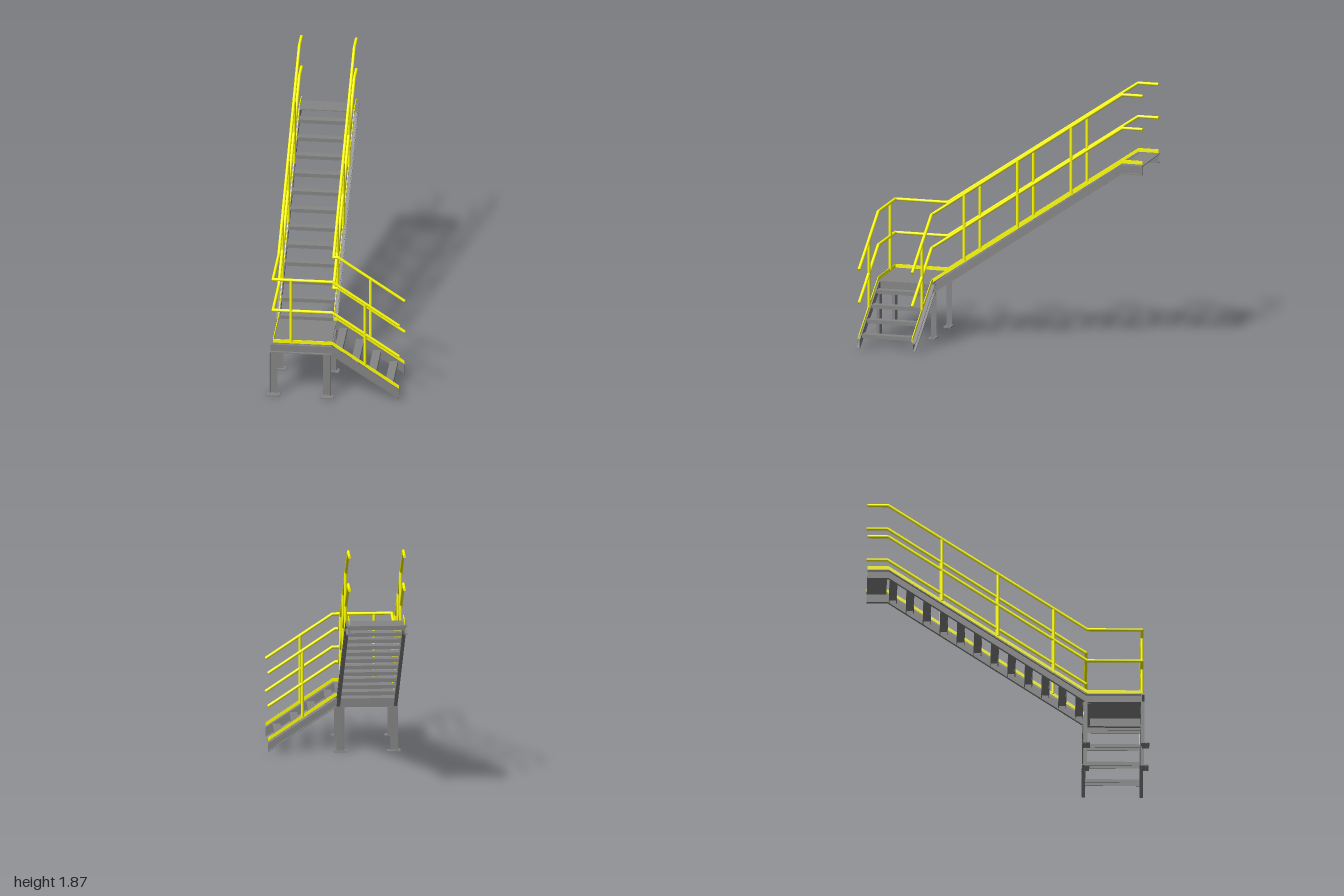
import * as THREE from 'three';

const steel = new THREE.MeshStandardMaterial({ color: 0x858585 });
const yellow = new THREE.MeshStandardMaterial({ color: 0xffff00 });

const BEAM_H = 0.066, FLANGE = 0.025, T = 0.007, PIPE = 0.011;
const V = (x, y, z) => new THREE.Vector3(x, y, z);

function add(parent, name, geometry, material = steel) {
  const mesh = new THREE.Mesh(geometry, material);
  mesh.name = name;
  parent.add(mesh);
  return mesh;
}

function group(parent, name) {
  const g = new THREE.Group();
  g.name = name;
  parent.add(g);
  return g;
}

// Box given by its minimum and maximum corners
function box(parent, name, x0, x1, y0, y1, z0, z1) {
  const mesh = add(parent, name, new THREE.BoxGeometry(x1 - x0, y1 - y0, z1 - z0));
  mesh.position.set((x0 + x1) / 2, (y0 + y1) / 2, (z0 + z1) / 2);
  return mesh;
}

// Flat bar following a side profile, from "low" to "high" around its points.
// Local axes: run, up, depth.
function strip(parent, name, pts, low, high, start, depth, material) {
  const shape = new THREE.Shape([
    ...pts.map(([s, y]) => new THREE.Vector2(s, y + low)),
    ...[...pts].reverse().map(([s, y]) => new THREE.Vector2(s, y + high)),
  ]);
  const geo = new THREE.ExtrudeGeometry(shape, { depth, bevelEnabled: false });
  geo.translate(0, 0, start);
  return add(parent, name, geo, material);
}

// C-channel below a profile of top-edge points; flanges point from the web towards "dir"
function channel(parent, name, pts, web, dir) {
  const g = group(parent, name);
  const start = (depth) => (dir > 0 ? web : web - depth);
  strip(g, 'web', pts, -BEAM_H + T, -T, start(T), T);
  strip(g, 'topFlange', pts, -T, 0, start(FLANGE), FLANGE);
  strip(g, 'bottomFlange', pts, -BEAM_H, -BEAM_H + T, start(FLANGE), FLANGE);
  return g;
}

// Straight pipe between two points
function pipe(parent, name, a, b) {
  const mesh = add(parent, name, new THREE.CylinderGeometry(PIPE, PIPE, a.distanceTo(b), 14), yellow);
  mesh.position.copy(a).add(b).multiplyScalar(0.5);
  mesh.quaternion.setFromUnitVectors(V(0, 1, 0), b.clone().sub(a).normalize());
}

// Pipe through several points with rounded elbows
function rail(parent, name, pts) {
  const g = group(parent, name);
  pts.forEach((p, i) => {
    if (i === 0) return;
    pipe(g, 'railPipe', pts[i - 1], p);
    if (i < pts.length - 1) {
      add(g, 'railElbow', new THREE.SphereGeometry(PIPE, 14, 10), yellow).position.copy(p);
    }
  });
}

// Folded pan tread, long in x, centred on its top face
function tread(parent, length) {
  const g = group(parent, 'tread');
  const w = 0.0285;
  box(g, 'treadTop', -length / 2, length / 2, -0.005, 0, -w, w);
  for (const s of [-1, 1]) {
    const lip = box(g, 'treadLip', -length / 2, length / 2, -0.027, -0.005, -0.0025, 0.0025);
    lip.position.z = s * (w - 0.0025);
  }
  return g;
}

// Foot plate with two bolt holes, lying flat
function footPlate(parent, x, z, side) {
  const shape = new THREE.Shape();
  shape.moveTo(-0.047, -0.026);
  shape.lineTo(0.047, -0.026);
  shape.lineTo(0.047, 0.026);
  shape.lineTo(-0.047, 0.026);
  shape.closePath();
  for (const s of [-1, 1]) {
    const hole = new THREE.Path();
    hole.absarc(s * 0.037, -side * 0.006, 0.004, 0, Math.PI * 2, true);
    shape.holes.push(hole);
  }
  const geo = new THREE.ExtrudeGeometry(shape, { depth: 0.008, bevelEnabled: false, curveSegments: 8 });
  geo.rotateX(-Math.PI / 2);
  add(parent, 'footPlate', geo).position.set(x, 0, z);
}

export function createModel() {
  const model = new THREE.Group();
  model.name = 'industrialStaircase';

  // Stringers of the lower flight; the front one continues as the landing's front beam
  const lower = group(model, 'lowerFlight');
  const slope = [[-0.015, 0.395], [0.465, 0.074]];
  channel(lower, 'frontStringer', [[-0.45, 0.395], ...slope], 0.94, 1);
  channel(lower, 'backStringer', [[-0.045, 0.395], ...slope], 0.555, -1);
  for (let i = 0; i < 4; i++) {
    const t = tread(lower, 0.385);
    t.rotation.y = Math.PI / 2;
    t.position.set(0.028 + i * 0.12, 0.348 - i * 0.0815, 0.7475);
  }

  // Stringers of the upper flight, continuing as the landing's side beams
  const upper = group(model, 'upperFlight');
  const upperPath = [[-0.94, 0.395], [-0.55, 0.395], [0.85, 1.355], [1, 1.355]];
  for (const [name, web, dir] of [['rightStringer', -0.427, -1], ['leftStringer', -0.045, 1]]) {
    channel(upper, name, upperPath, web, dir).rotation.y = Math.PI / 2;
  }
  for (let i = 0; i < 12; i++) {
    tread(upper, 0.382).position.set(-0.236, 1.308 - i * 0.0816, -0.815 + i * 0.12);
  }
  box(upper, 'topPlate', -0.43, -0.042, 1.349, 1.355, -1, -0.86);

  // Landing deck with its back beam tucked underneath
  const landing = group(model, 'landing');
  box(landing, 'deckPlate', -0.448, -0.022, 0.39, 0.397, 0.555, 0.945);
  channel(landing, 'backBeam', [[-0.427, 0.39], [-0.045, 0.39]], 0.556, 1);

  // Channel legs, opening outwards, on foot plates
  for (const x of [-0.4275, -0.0475]) {
    for (const [web, side, plateZ] of [[0.94, 1, 0.972], [0.56, -1, 0.552]]) {
      const leg = group(landing, 'leg');
      const span = (d) => [Math.min(web, web + side * d), Math.max(web, web + side * d)];
      box(leg, 'legWeb', x - 0.0275, x + 0.0275, 0.008, 0.33, ...span(T));
      box(leg, 'legFlange', x - 0.0275, x - 0.0205, 0.008, 0.33, ...span(FLANGE));
      box(leg, 'legFlange', x + 0.0205, x + 0.0275, 0.008, 0.33, ...span(FLANGE));
      footPlate(leg, x, plateZ, side);
    }
  }

  // Middle and top rails: the outer run wraps the landing, the inner one turns its corner
  const rails = group(model, 'handrails');
  const xr = -0.432, xl = -0.041, zf = 0.948, zb = 0.555;
  for (const [name, y] of [['middleRail', 0.66], ['topRail', 0.903]]) {
    const foot = y - 0.321, head = y + 0.96;
    rail(rails, 'outer ' + name, [
      V(0.465, foot, zf), V(-0.01, y, zf), V(xr, y, zf),
      V(xr, y, 0.56), V(xr, head, -0.85), V(xr, head, -1),
    ]);
    rail(rails, 'inner ' + name, [
      V(0.465, foot, zb), V(-0.01, y, zb), V(xl, y, zb),
      V(xl, head, -0.85), V(xl, head, -1),
    ]);
  }

  // Thin flat toe bars under the rails
  const TOE = 0.417, BAR = 0.005;
  const toeBar = (name, pts, at) => strip(rails, name, pts, -0.013, 0.013, at - BAR / 2, BAR, yellow);
  const toeDown = [[-0.01, TOE], [0.465, TOE - 0.321]];
  const toeUp = [[-0.56, TOE], [0.85, TOE + 0.96], [1, TOE + 0.96]];
  toeBar('frontToeBar', [[xr, TOE], ...toeDown], zf);
  toeBar('backToeBar', [[xl, TOE], ...toeDown], zb);
  toeBar('rightToeBar', [[-zf, TOE], ...toeUp], xr).rotation.y = Math.PI / 2;
  toeBar('leftToeBar', toeUp, xl).rotation.y = Math.PI / 2;

  // Posts from toe bar to top rail
  const post = (x, y, z) => pipe(rails, 'railPost', V(x, y, z), V(x, y + 0.486, z));
  for (const z of [0.32, -0.075, -0.472]) {
    for (const x of [xr, xl]) post(x + 0.003, TOE + (0.56 - z) * 0.681, z);
  }
  for (const z of [zf, zb]) post(0.222, 0.26, z);
  post(-0.305, TOE, zf);

  return model;
}
